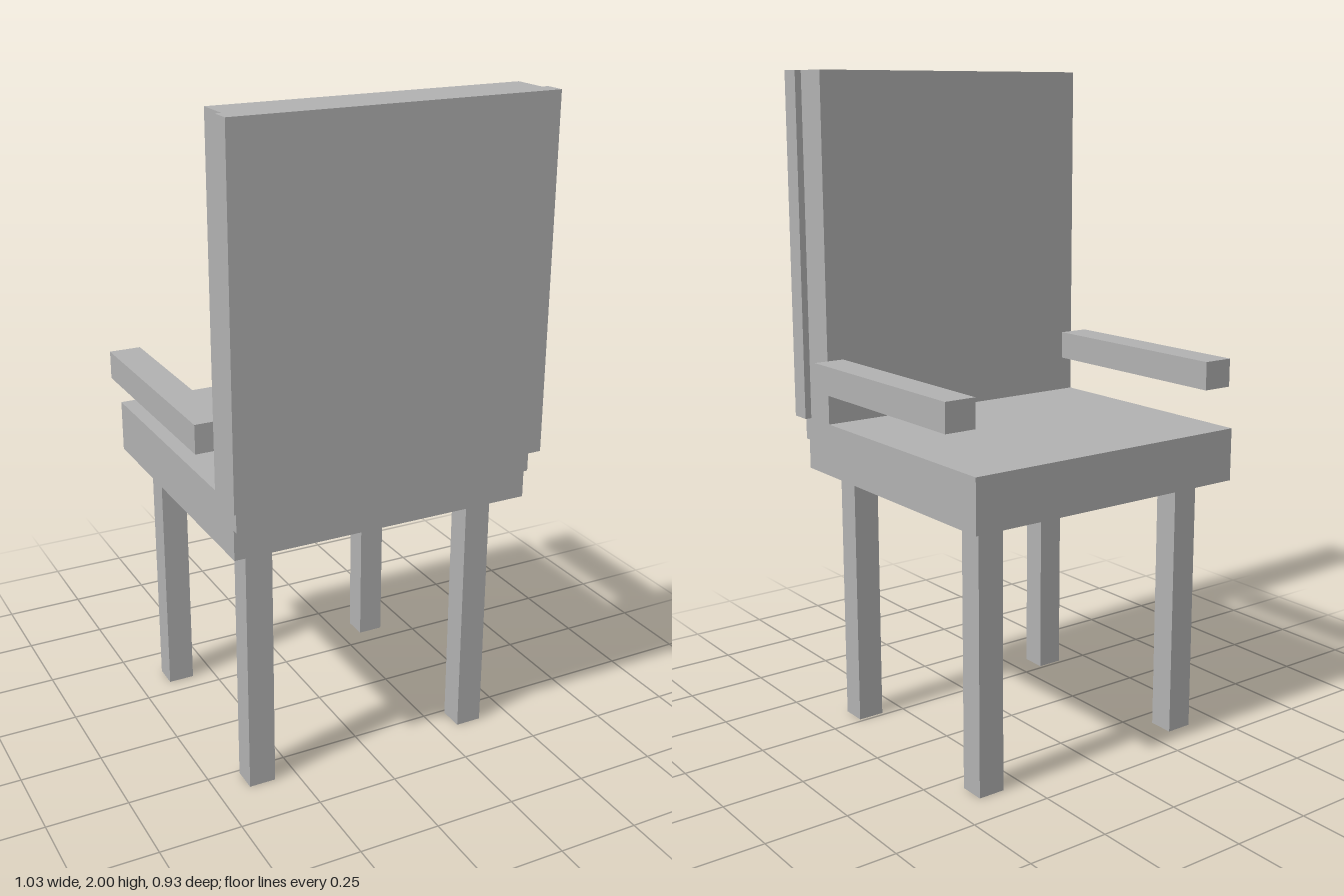
import * as THREE from 'three';

export function createModel() {
  const group = new THREE.Group();
  const grey = new THREE.MeshStandardMaterial({ color: 0xb2b2b2 });
  grey.name = 'plain grey';

  // Box given by its extents along each axis
  function addBox(name, [x0, x1], [y0, y1], [z0, z1]) {
    const mesh = new THREE.Mesh(new THREE.BoxGeometry(x1 - x0, y1 - y0, z1 - z0), grey);
    mesh.position.set((x0 + x1) / 2, (y0 + y1) / 2, (z0 + z1) / 2);
    mesh.name = name;
    group.add(mesh);
  }

  // Seat and two-layer backrest; the chair opens towards -z
  addBox('seat', [-0.468, 0.466], [0.8, 0.96], [-0.467, 0.417]);
  addBox('backCushion', [-0.468, 0.466], [0.89, 2], [0.293, 0.435]);
  addBox('backPanel', [-0.486, 0.486], [0.96, 2], [0.403, 0.465]);

  for (const [side, s] of [['left', 1], ['right', -1]]) {
    const span = (a, b) => (s > 0 ? [a, b] : [-b, -a]);

    // Armrests float beside the backrest
    addBox(side + 'Armrest', span(0.42, 0.517), [1.07, 1.156], [-0.403, 0.28]);

    // Legs
    addBox(side + 'LegNearBackrest', span(0.32, 0.402), [0, 0.8], [0.262, 0.34]);
    addBox(side + 'LegNearSeatEdge', span(0.32, 0.402), [0, 0.8], [-0.388, -0.31]);
  }
  return group;
}
